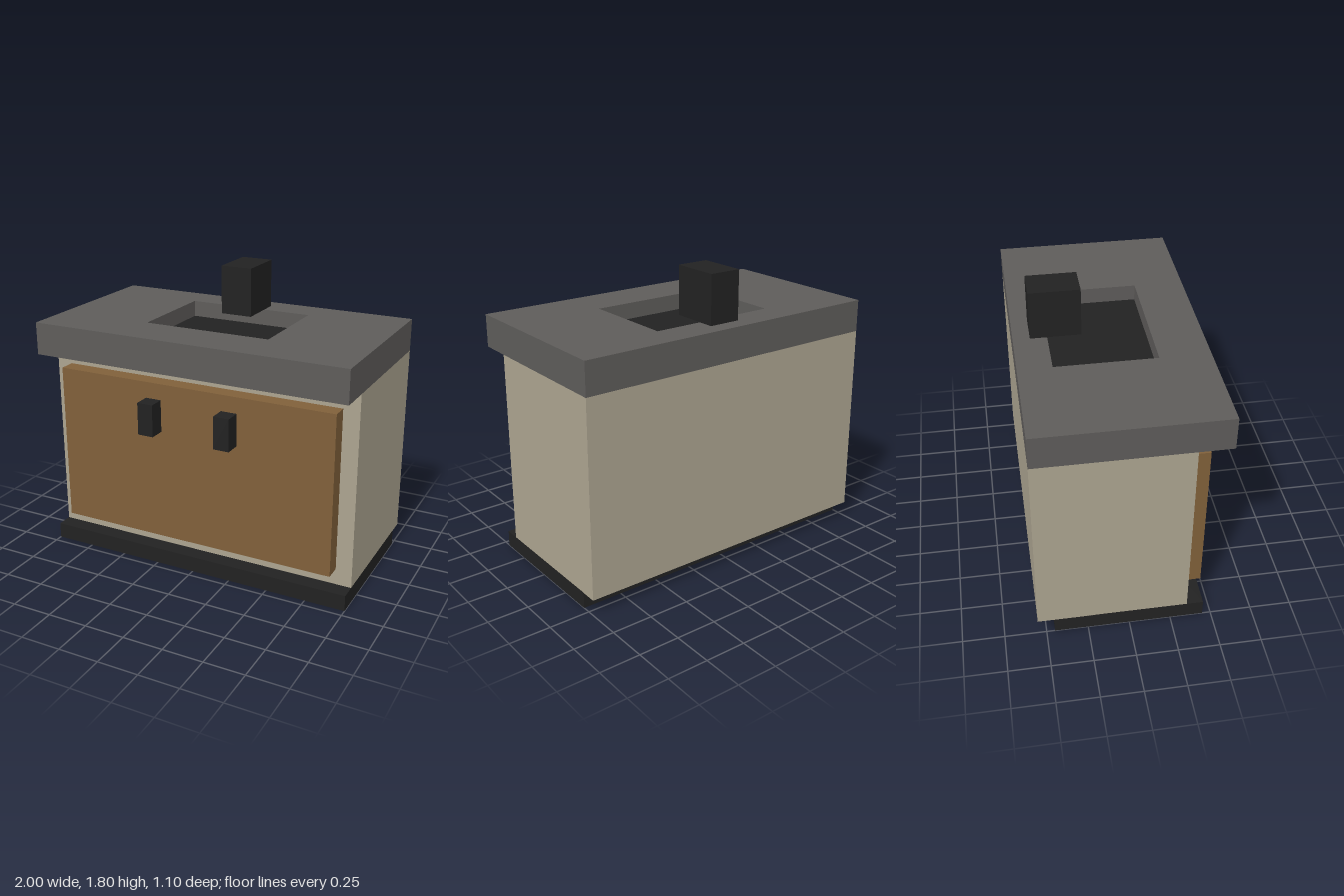
import * as THREE from 'three';

const mat = (name, color, side = THREE.FrontSide) => {
  const m = new THREE.MeshStandardMaterial({ color, side });
  m.name = name;
  return m;
};

export function createModel() {
  const group = new THREE.Group();
  group.name = 'sinkCabinet';

  const stone = mat('greyStone', 0x5e5c5a);
  const cream = mat('cream', 0xaca490);
  const wood = mat('brownWood', 0x80603a);
  const black = mat('black', 0x222222, THREE.DoubleSide);

  const add = (name, geometry, material) => {
    const mesh = new THREE.Mesh(geometry, material);
    mesh.name = name;
    group.add(mesh);
    return mesh;
  };
  // Box given by its lower and upper limits on each axis
  const box = (name, material, [x0, x1], [y0, y1], [z0, z1]) => {
    const g = new THREE.BoxGeometry(x1 - x0, y1 - y0, z1 - z0);
    g.translate((x0 + x1) / 2, (y0 + y1) / 2, (z0 + z1) / 2);
    return add(name, g, material);
  };

  // Plinth, hollow and open underneath
  const plinth = box('plinth', black, [-1, 1], [0, 0.1], [-0.45, 0.45]);
  const index = Array.from(plinth.geometry.index.array);
  index.splice(18, 6); // drop the bottom face
  plinth.geometry.setIndex(index);
  plinth.geometry.clearGroups();

  // Cabinet body, its floor just under the plinth's top
  box('cabinet', cream, [-1, 1], [0.098, 1.3], [-0.55, 0.35]);

  // Door panel and its two handles
  box('doorPanel', wood, [-0.9, 0.9], [0.2, 1.2], [0.35, 0.45]);
  for (const [name, x] of [['leftHandle', 0.25], ['rightHandle', -0.25]]) {
    box(name, black, [x - 0.05, x + 0.05], [0.9, 1.1], [0.45, 0.55]);
  }

  // Worktop with a rectangular basin opening
  const rect = (T, x, y0, y1) => new T([
    new THREE.Vector2(-x, y0), new THREE.Vector2(x, y0),
    new THREE.Vector2(x, y1), new THREE.Vector2(-x, y1),
  ]);
  const slab = rect(THREE.Shape, 1, -0.55, 0.55);
  slab.holes.push(rect(THREE.Path, 0.4, -0.25, 0.35));
  const worktop = new THREE.ExtrudeGeometry(slab, { depth: 0.2, bevelEnabled: false });
  worktop.rotateX(-Math.PI / 2).translate(0, 1.3, 0);
  add('worktop', worktop, stone);

  // Basin floor halfway down the slab
  const floor = new THREE.PlaneGeometry(0.8, 0.6);
  floor.rotateX(-Math.PI / 2).translate(0, 1.4, -0.05);
  add('basinFloor', floor, black);

  // Tap block reaching over the basin
  box('tap', black, [-0.1, 0.1], [1.5, 1.8], [-0.45, -0.15]);

  return group;
}
